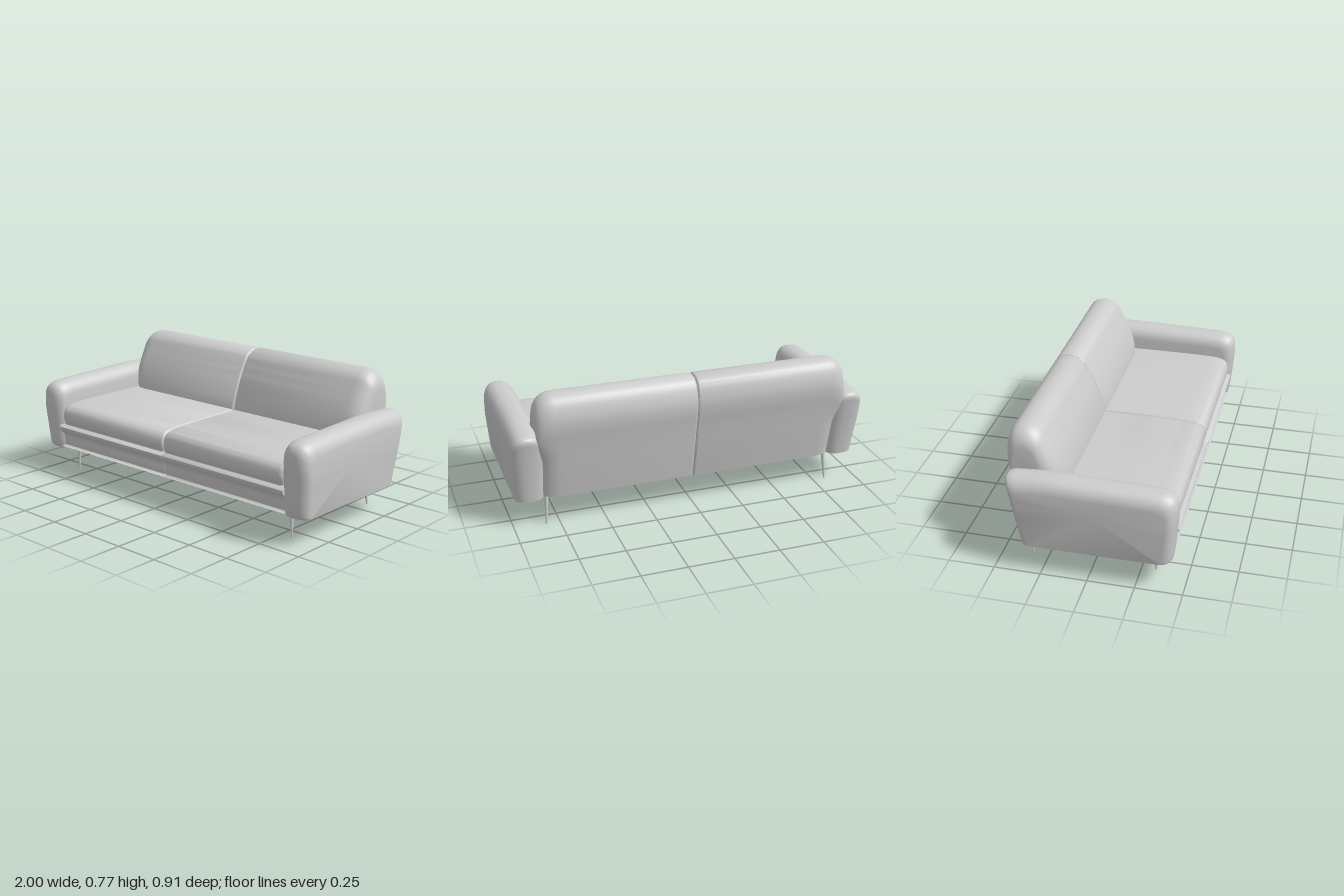
import * as THREE from 'three';
import { toCreasedNormals } from 'three/addons/utils/BufferGeometryUtils.js';

const fabric = new THREE.MeshStandardMaterial({ color: 0xcccccc });
fabric.name = 'light grey';

// Smooth side profile of [z, y] points, counter-clockwise, closed by a straight edge
function profile(points, samples) {
  const curve = new THREE.SplineCurve(points.map(([z, y]) => new THREE.Vector2(z, y)));
  const out = curve.getPoints(samples);
  return THREE.ShapeUtils.area(out) < 0 ? out.reverse() : out;
}

// Slices between x0 and x1 as [x, startInset, endInset], with rounded ends of width r0 and r1
function slices(x0, r0, x1, r1, n = 7) {
  const list = [];
  for (let i = 0; i <= n; i++) {
    const a = (i / n) * Math.PI / 2;
    list.push([x0 + r0 * (1 - Math.sin(a)), 1 - Math.cos(a), 0]);
  }
  list.reverse();
  list.forEach((s) => { s[0] = x0 + r0 - (s[0] - x0); });
  // the quarter circle runs from full inset at x0 to none at x0 + r0
  for (let i = 0; i <= n; i++) {
    const a = (i / n) * Math.PI / 2;
    list[i] = [x0 + r0 * (1 - Math.cos(a)), 1 - Math.sin(a), 0];
  }
  for (let i = 0; i <= n; i++) {
    const a = (i / n) * Math.PI / 2;
    list.push([x1 - r1 * (1 - Math.sin(a)), 0, 1 - Math.cos(a)]);
  }
  return list;
}

// Skin the slices; place(point, slice) returns [x, y, z]
function loft(points, list, place) {
  const n = points.length, pos = [], idx = [];
  list.forEach((s) => points.forEach((p) => pos.push(...place(p, s))));
  for (let i = 0; i < list.length - 1; i++) {
    for (let j = 0; j < n; j++) {
      const a = i * n + j, b = i * n + (j + 1) % n;
      idx.push(a, a + n, b, b, a + n, b + n);
    }
  }
  // End caps fan out from the middle of the first and last slice
  [0, list.length - 1].forEach((row, end) => {
    const c = [0, 0, 0];
    for (let j = 0; j < n; j++) for (let k = 0; k < 3; k++) c[k] += pos[(row * n + j) * 3 + k] / n;
    const centre = pos.length / 3;
    pos.push(...c);
    for (let j = 0; j < n; j++) {
      const a = row * n + j, b = row * n + (j + 1) % n;
      idx.push(centre, end ? b : a, end ? a : b);
    }
  });
  const geo = new THREE.BufferGeometry();
  geo.setAttribute('position', new THREE.Float32BufferAttribute(pos, 3));
  geo.setIndex(idx);
  return geo;
}

function mirrored(geo) {
  const g = geo.clone().scale(-1, 1, 1);
  const a = g.index.array;
  for (let i = 0; i < a.length; i += 3) [a[i + 1], a[i + 2]] = [a[i + 2], a[i + 1]];
  return g;
}

export function createModel() {
  const sofa = new THREE.Group();
  sofa.name = 'sofa';
  const add = (name, geo) => {
    const mesh = new THREE.Mesh(geo, fabric);
    mesh.name = name;
    sofa.add(mesh);
    return mesh;
  };
  const addPair = (name, geo) => {
    add(name + 'Left', toCreasedNormals(geo, 0.7));
    add(name + 'Right', toCreasedNormals(mirrored(geo), 0.7));
  };

  // Arms: soft edges on the top and both ends, flat underside
  const armSide = profile([[0.42, 0.155], [0.435, 0.175], [0.45, 0.33], [0.457, 0.45], [0.447, 0.515],
    [0.41, 0.545], [0.33, 0.555], [0, 0.564], [-0.2, 0.568], [-0.35, 0.56], [-0.41, 0.552],
    [-0.43, 0.53], [-0.423, 0.48], [-0.395, 0.33], [-0.365, 0.155]], 70);
  addPair('arm', loft(armSide, slices(0.83, 0.075, 1, 0.075), (p, [x, k0, k1]) => {
    const k = k0 + k1, h = (p.y - 0.155) / 0.41;
    const taper = 0.016 * Math.max(0, 1 - h * 1.6) * (x - 0.83) / 0.17;
    return [x - taper, 0.155 + (p.y - 0.155) * (1 - 0.19 * k), 0.02 + (p.x - 0.02) * (1 - 0.13 * k)];
  }));

  // Back cushions: leaning, rounded top, narrower where they pass between the arms
  const backSide = profile([[-0.15, 0.165], [-0.148, 0.3], [-0.152, 0.44], [-0.19, 0.57], [-0.25, 0.69],
    [-0.285, 0.74], [-0.34, 0.765], [-0.4, 0.758], [-0.437, 0.722], [-0.456, 0.65], [-0.453, 0.58],
    [-0.435, 0.49], [-0.405, 0.33], [-0.372, 0.165]], 60);
  addPair('backCushion', loft(backSide, slices(0, 0.018, 0.87, 0.1), (p, [x, k0, k1]) => {
    const narrow = 1 - 0.045 * (1 - THREE.MathUtils.smoothstep(p.y, 0.4, 0.56));
    const ky = 1 - 0.03 * k0 - 0.17 * k1, kz = 1 - 0.1 * k0 - 0.42 * k1;
    const axis = -0.26 - 0.09 * THREE.MathUtils.smoothstep(p.y, 0.165, 0.6);
    return [x * narrow, 0.165 + (p.y - 0.165) * ky, axis + (p.x - axis) * kz];
  }));

  // Seat cushions: rolled front edge
  const seatSide = profile([[-0.22, 0.296], [0.1, 0.296], [0.39, 0.296], [0.422, 0.31], [0.433, 0.355],
    [0.418, 0.402], [0.37, 0.424], [0.25, 0.431], [0, 0.432], [-0.22, 0.43]], 50);
  addPair('seatCushion', loft(seatSide, slices(0, 0.02, 0.838, 0.03), (p, [x, k0, k1]) => {
    const k = k0 + k1;
    return [x, 0.35 + (p.y - 0.35) * (1 - 0.25 * k), p.x * (1 - 0.045 * k)];
  }));

  // Base frame under the seats, in two upholstered halves
  const baseSide = profile([[-0.33, 0.165], [0, 0.165], [0.4, 0.165], [0.411, 0.176], [0.416, 0.235],
    [0.416, 0.305], [0, 0.305], [-0.33, 0.305]], 40);
  addPair('base', loft(baseSide, slices(0, 0.006, 0.85, 0.006, 3), (p, [x, k0]) => [x, p.y, p.x * (1 - 0.012 * k0)]));

  // Thin support rails beneath the base
  const rail = (name, w, d, x, z) => add(name, new THREE.BoxGeometry(w, 0.02, d)).position.set(x, 0.156, z);
  rail('backRail', 1.64, 0.014, 0, -0.32);
  for (const s of [1, -1]) rail('sideRail', 0.014, 0.66, s * 0.815, 0.005);

  // Slim tapered legs, splayed slightly
  const up = new THREE.Vector3(0, 1, 0);
  for (const s of [1, -1]) {
    for (const [name, zTop, zFoot] of [['frontLeg', 0.322, 0.327], ['backLeg', -0.325, -0.343]]) {
      const top = new THREE.Vector3(s * 0.813, 0.17, zTop), foot = new THREE.Vector3(s * 0.824, 0, zFoot);
      const dir = top.clone().sub(foot);
      const leg = add(name, new THREE.CylinderGeometry(0.012, 0.005, dir.length(), 16));
      leg.position.copy(top).add(foot).multiplyScalar(0.5);
      leg.quaternion.setFromUnitVectors(up, dir.normalize());
    }
  }
  return sofa;
}
